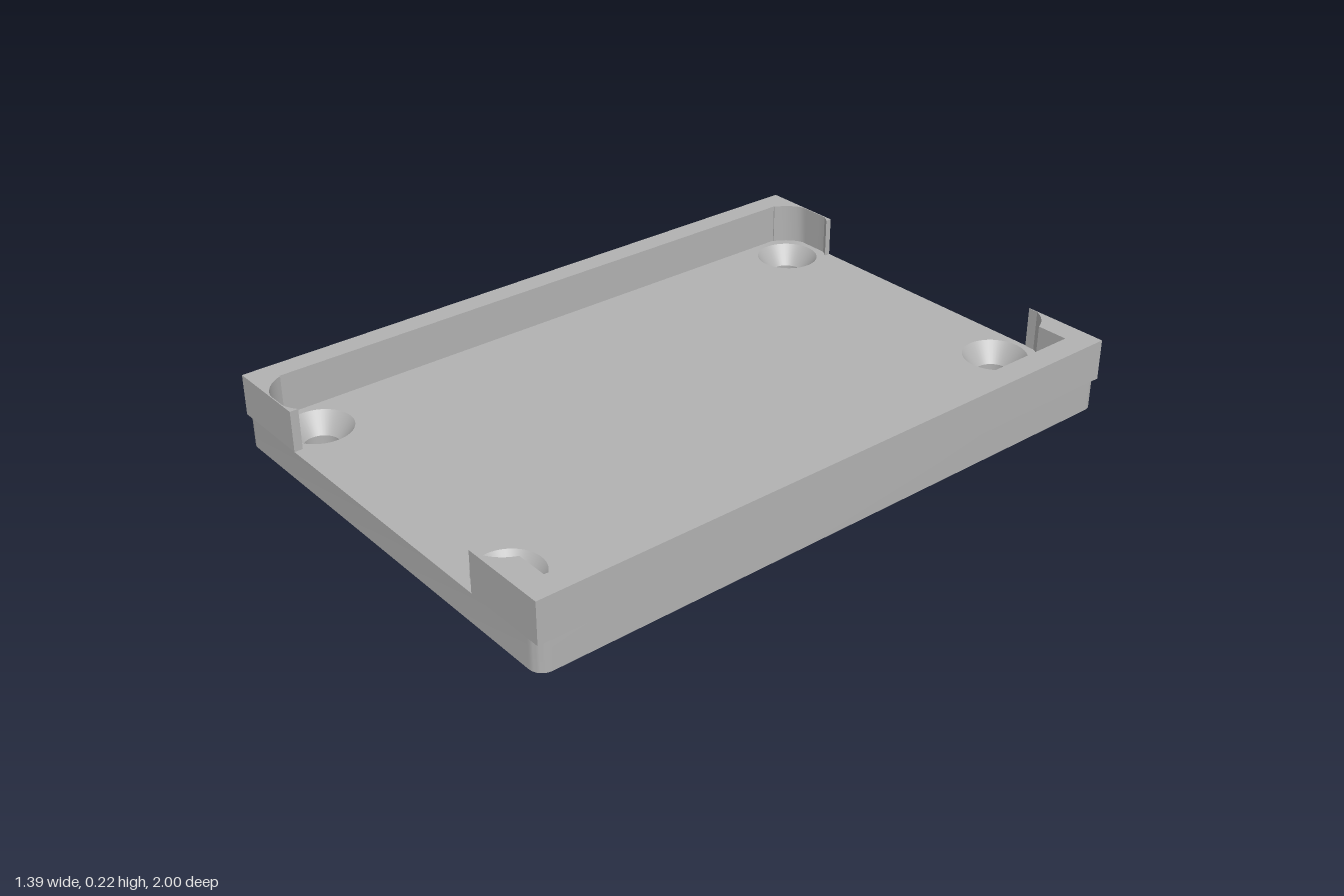
import * as THREE from 'three';
import { toCreasedNormals } from 'three/addons/utils/BufferGeometryUtils.js';

const HALF_X = 0.695, HALF_Z = 1, FLOOR = 0.09, TOP = 0.215, CORNER = 0.04;
const HOLE_R = 0.053, SINK_R = 0.097, CLEARANCE = 0.125, NECK = 0.03, SEG = 48;
const HOLE_X = [-0.505, 0.405], HOLE_Z = [-0.883, 0.877];

export function createModel() {
  const group = new THREE.Group();
  const grey = new THREE.MeshStandardMaterial({ color: 0xb2b2b2 });
  grey.name = 'grey plastic';

  const add = (name, geometry) => {
    const mesh = new THREE.Mesh(geometry, grey);
    mesh.name = name;
    group.add(mesh);
    return mesh;
  };

  // Rounded outline of the base plate, counterclockwise
  const outline = [];
  [[1, 1], [-1, 1], [-1, -1], [1, -1]].forEach(([sx, sy], q) => {
    for (let i = 0; i <= 8; i++) {
      const a = (q + i / 8) * Math.PI / 2;
      outline.push(new THREE.Vector2(
        sx * (HALF_X - CORNER) + CORNER * Math.cos(a),
        sy * (HALF_Z - CORNER) + CORNER * Math.sin(a)));
    }
  });

  // Flat plate face with four holes; zSign maps shape y to model z
  const plateFace = (radius, zSign) => {
    const shape = new THREE.Shape(outline);
    for (const x of HOLE_X) for (const z of HOLE_Z) {
      shape.holes.push(new THREE.Path().absarc(x, z * zSign, radius, 0, Math.PI * 2, true));
    }
    return new THREE.ShapeGeometry(shape, SEG / 2);
  };
  add('plateTop', plateFace(SINK_R, -1).rotateX(-Math.PI / 2).translate(0, FLOOR, 0));
  add('plateUnderside', plateFace(HOLE_R, 1).rotateX(Math.PI / 2));

  // Plate rim: a band following the outline
  const band = [];
  outline.forEach((p, i) => {
    const q = outline[(i + 1) % outline.length];
    const a = [p.x, 0, -p.y], b = [q.x, 0, -q.y];
    const c = [q.x, FLOOR, -q.y], d = [p.x, FLOOR, -p.y];
    band.push(...a, ...b, ...c, ...a, ...c, ...d);
  });
  const rim = new THREE.BufferGeometry();
  rim.setAttribute('position', new THREE.Float32BufferAttribute(band, 3));
  add('plateRim', toCreasedNormals(rim, 0.6));

  // Countersunk screw holes
  const v = (x, y) => new THREE.Vector2(x, y);
  const sink = new THREE.LatheGeometry([v(SINK_R, FLOOR), v(HOLE_R, NECK)], SEG);
  const bore = new THREE.LatheGeometry([v(HOLE_R, NECK), v(HOLE_R, 0)], SEG);
  for (const x of HOLE_X) for (const z of HOLE_Z) {
    add('countersink', sink).position.set(x, 0, z);
    add('screwBore', bore).position.set(x, 0, z);
  }

  // Side walls with hooked ends, hollowed around each screw head
  const wall = (name, side, innerX, endX, holeX) => {
    const hook = (end) => {
      const hz = HOLE_Z[end > 0 ? 1 : 0];
      const start = Math.acos((endX - holeX) * side / CLEARANCE);
      const finish = Math.asin(0.045 / CLEARANCE);
      const pts = [[side * HALF_X, end * HALF_Z], [endX, end * HALF_Z]];
      for (let i = 0; i <= 16; i++) {
        const a = start + (finish - start) * i / 16;
        const z = Math.min(0.997, Math.abs(hz) + CLEARANCE * Math.sin(a));
        pts.push([holeX + side * CLEARANCE * Math.cos(a), end * z]);
      }
      pts.push([innerX, hz + end * 0.045]);
      return pts;
    };
    const points = [...hook(-1), ...hook(1).reverse()].map(([x, z]) => v(x, -z));
    const geometry = new THREE.ExtrudeGeometry(new THREE.Shape(points),
      { depth: TOP - FLOOR, bevelEnabled: false });
    geometry.rotateX(-Math.PI / 2).translate(0, FLOOR, 0);
    add(name, toCreasedNormals(geometry, 0.4));
  };
  wall('rightWall', -1, -0.625, -0.427, HOLE_X[0]);
  wall('leftWall', 1, 0.62, 0.425, HOLE_X[1]);

  return group;
}
